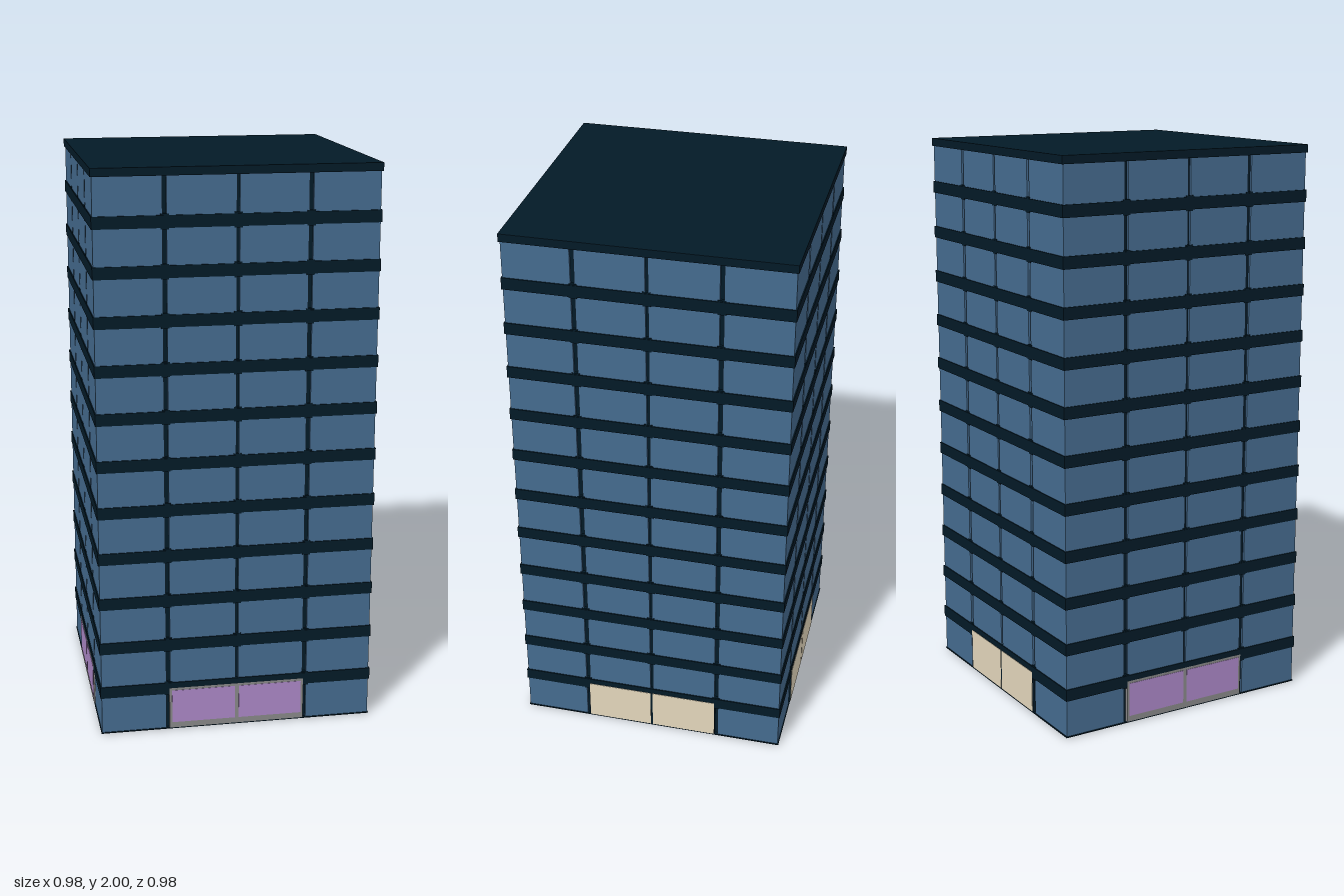
import * as THREE from 'three';

const mat = (name, color) => {
  const m = new THREE.MeshStandardMaterial({ color });
  m.name = name;
  return m;
};

export function createModel() {
  const dark = mat('dark cladding', 0x031a27);
  const glass = mat('blue glass', 0x456b8f);
  const purple = mat('purple glass', 0xab87c6);
  const beige = mat('beige panel', 0xe4d7bc);
  const concrete = mat('pale concrete', 0xcdcdcd);
  const grey = mat('grey metal', 0x888888);

  const tower = new THREE.Group();
  tower.name = 'officeTower';

  // Box given by its minimum and maximum corners
  const box = (parent, name, material, x0, x1, y0, y1, z0, z1) => {
    const mesh = new THREE.Mesh(new THREE.BoxGeometry(x1 - x0, y1 - y0, z1 - z0), material);
    mesh.position.set((x0 + x1) / 2, (y0 + y1) / 2, (z0 + z1) / 2);
    mesh.name = name;
    parent.add(mesh);
  };

  const floors = 12, pitch = 0.1663, firstSlab = 0.159, half = 0.021;
  const slabY = (i) => firstSlab + i * pitch;
  const bays = [[-0.485, -0.254], [-0.24, -0.005], [0.005, 0.24], [0.254, 0.485]];

  // Dark body, showing as mullions between the panes
  box(tower, 'body', dark, -0.477, 0.477, 0.004, 1.98, -0.477, 0.477);

  // Floor slabs and roof
  for (let i = 0; i < floors - 1; i++) {
    box(tower, 'floorSlab', dark, -0.489, 0.489, slabY(i) - half, slabY(i) + half, -0.489, 0.489);
  }
  box(tower, 'roof', dark, -0.49, 0.49, 1.972, 2, -0.49, 0.49);

  // Underside with the core footprint
  box(tower, 'baseRim', dark, -0.488, 0.488, 0.002, 0.006, -0.488, 0.488);
  box(tower, 'basePlate', concrete, -0.48, 0.48, 0.001, 0.005, -0.48, 0.48);
  box(tower, 'coreFootprint', grey, 0, 0.357, 0, 0.004, -0.375, 0.005);
  box(tower, 'coreFootprintTab', grey, -0.02, 0.03, 0, 0.004, -0.06, 0.05);

  // Four facades: front, +x, back, -x
  for (let side = 0; side < 4; side++) {
    const facade = new THREE.Group();
    facade.name = ['frontFacade', 'leftFacade', 'backFacade', 'rightFacade'][side];
    facade.rotation.y = side * Math.PI / 2;
    tower.add(facade);

    for (let i = 0; i < floors; i++) {
      const y0 = i === 0 ? 0.006 : slabY(i - 1) + half;
      const y1 = i === floors - 1 ? 1.973 : slabY(i) - half;
      bays.forEach(([x0, x1], b) => {
        if (i === 0 && (b === 1 || b === 2)) return; // entrance bays
        box(facade, 'windowPane', glass, x0, x1, y0, y1, 0.477, 0.485);
      });
      // Mullion joints above and below each slab
      if (i < floors - 1) {
        for (const x of [-0.247, 0, 0.247]) {
          if (i === 0 && x === 0) continue;
          box(facade, 'mullionJoint', dark, x - 0.014, x + 0.014,
            slabY(i) - half - 0.005, slabY(i) + half + 0.005, 0.477, 0.487);
        }
      }
    }

    // Ground floor entrances: glazed on front and right, solid on the others
    const glazed = side === 0 || side === 3;
    box(facade, glazed ? 'entranceFrame' : 'entranceBacking', glazed ? grey : dark,
      -0.243, 0.243, 0.006, 0.159, 0.477, 0.4893);
    for (const s of [-1, 1]) {
      const a = s * (glazed ? 0.007 : 0.004), b = s * (glazed ? 0.234 : 0.241);
      box(facade, glazed ? 'entranceGlass' : 'entrancePanel', glazed ? purple : beige,
        Math.min(a, b), Math.max(a, b), glazed ? 0.027 : 0.008, glazed ? 0.15 : 0.159, 0.485, 0.4905);
    }
  }
  return tower;
}
